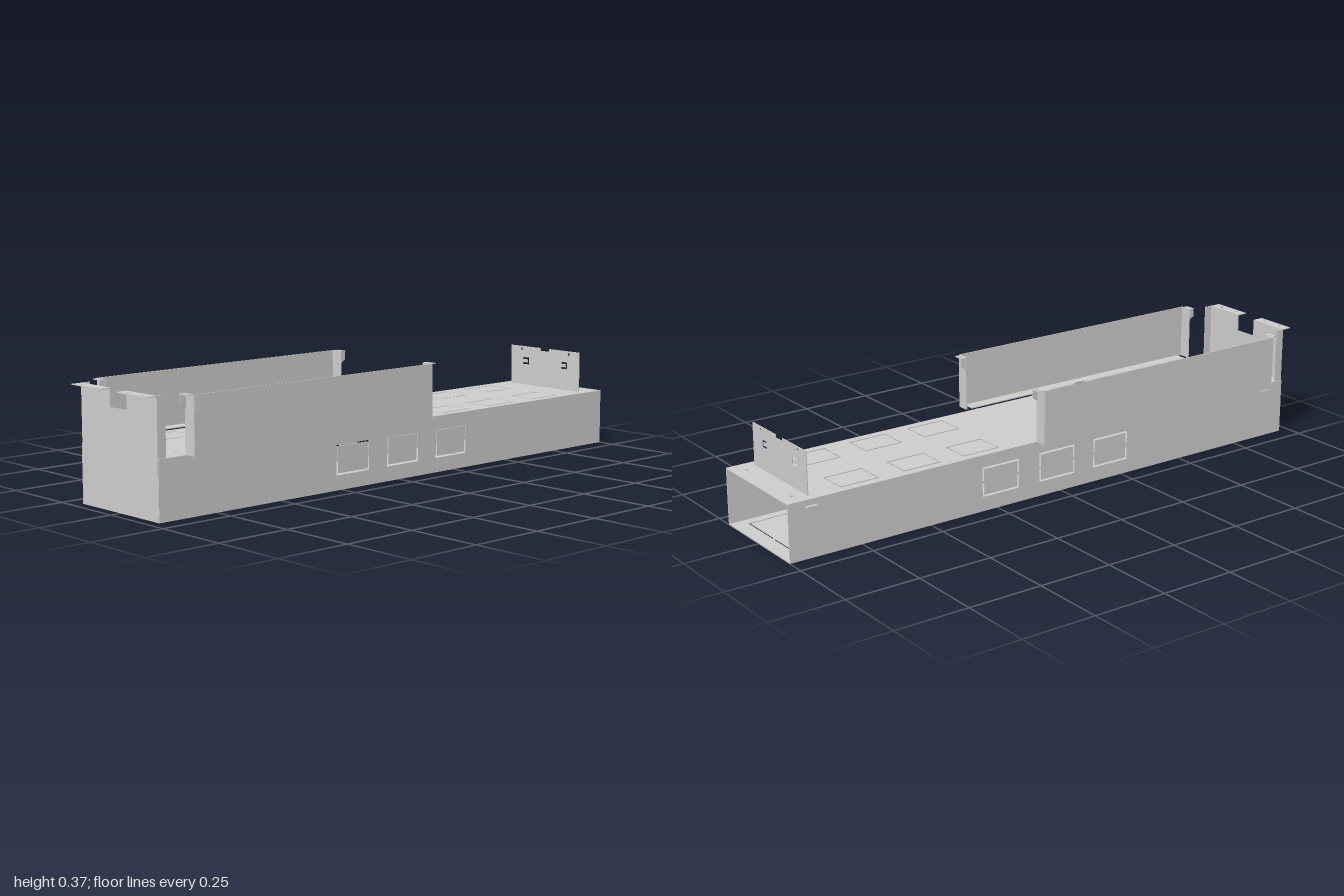
import * as THREE from 'three';

const T = 0.003; // sheet thickness
const material = new THREE.MeshStandardMaterial({ color: 0xcccccc, side: THREE.DoubleSide });

const rect = (x0, y0, x1, y1) => [[x0, y0], [x1, y0], [x1, y1], [x0, y1]];
const path = (pts) => new THREE.Path(pts.map(([x, y]) => new THREE.Vector2(x, y)));
const disc = (x, y, r) => new THREE.Path().absarc(x, y, r, 0, Math.PI * 2, true);

// Flat sheet extruded by T. Facing 'z': u = x, v = y. 'y': u = x, v = -z. 'x': u = -z, v = y.
function sheet(name, facing, at, outline, holes = []) {
  const shape = new THREE.Shape(outline.map(([x, y]) => new THREE.Vector2(x, y)));
  shape.holes = holes;
  const geo = new THREE.ExtrudeGeometry(shape, { depth: T, bevelEnabled: false, curveSegments: 12 });
  if (facing === 'y') geo.rotateX(-Math.PI / 2);
  if (facing === 'x') geo.rotateY(Math.PI / 2);
  const mesh = new THREE.Mesh(geo, material);
  mesh.name = name;
  mesh.position[facing] = at - T / 2;
  return mesh;
}

// Sheet with knockout panels: each is a slit outline held by two side bridges
function knockoutSheet(name, facing, at, outline, knockouts, holes = []) {
  const group = new THREE.Group();
  group.name = name;
  const slit = 0.006;
  const cuts = knockouts.map(([u, v, w, h]) => path(rect(u - w / 2, v - h / 2, u + w / 2, v + h / 2)));
  group.add(sheet(name + 'Sheet', facing, at, outline, [...cuts, ...holes]));
  for (const [u, v, w, h] of knockouts) {
    const a = w / 2 - slit, b = h / 2 - slit, c = w / 2, d = 0.004;
    group.add(sheet('knockout', facing, at, [
      [u - a, v - b], [u + a, v - b], [u + a, v - d], [u + c, v - d], [u + c, v + d], [u + a, v + d],
      [u + a, v + b], [u - a, v + b], [u - a, v + d], [u - c, v + d], [u - c, v - d], [u - a, v - d],
    ]));
  }
  return group;
}

// Side channel: outer panel, bottom flange, end flanges and mounting tabs
function sideChannel(s) {
  const g = new THREE.Group();
  g.name = s > 0 ? 'frontChannel' : 'backChannel';
  const x0 = -0.87, x1 = 0.1, y0 = 0.189, y1 = 0.37, outer = 0.236, inner = 0.194;
  g.add(sheet('channelPanel', 'z', s * outer, rect(x0, y0, x1, y1)));
  // bottom flange with a small relief on its inner edge
  g.add(sheet('channelBottomFlange', 'y', y0 + T / 2, [
    [x0 + 0.02, -s * outer], [x1 - 0.02, -s * outer], [x1 - 0.02, -s * inner], [-0.35, -s * inner],
    [-0.36, -s * (inner + 0.008)], [-0.4, -s * (inner + 0.008)], [-0.41, -s * inner], [x0 + 0.02, -s * inner],
  ]));
  for (const [x, dir] of [[x0, -1], [x1, 1]]) {
    g.add(sheet('channelEndFlange', 'x', x, rect(-s * outer, y0, -s * inner, y1)));
    g.add(sheet('channelTab', 'y', y1 - T / 2, rect(x, -s * 0.23, x + dir * 0.02, -s * inner),
      [disc(x + dir * 0.01, -s * 0.211, 0.005)]));
    g.add(sheet('channelTabLip', 'z', s * 0.198, [
      [x, 0.325], [x + dir * 0.01, 0.335], [x + dir * 0.02, 0.34], [x + dir * 0.02, y1], [x, y1],
    ]));
  }
  return g;
}

export function createModel() {
  const model = new THREE.Group();
  const L = -0.965, R = 1, H = 0.187, Z = 0.187;

  // Trough: top, bottom and two long sides, open at +x
  const topKnockouts = [], topHoles = [];
  for (const z of [-0.11, 0.11]) {
    for (const x of [-0.7, -0.48, -0.26, 0.29, 0.51, 0.735]) topKnockouts.push([x, z, 0.138, 0.102]);
  }
  for (const z of [-0.136, 0.136]) {
    for (const x of [-0.92, -0.865, 0.9, 0.955]) topHoles.push(disc(x, z, 0.006));
  }
  model.add(knockoutSheet('topPanel', 'y', H - T / 2, rect(L, -Z, R, Z), topKnockouts, topHoles));
  model.add(knockoutSheet('bottomPanel', 'y', T / 2, rect(L, -Z, R, Z),
    [[0.86, 0, 0.18, 0.31], [-0.825, 0, 0.18, 0.31]],
    [-0.4, 0.02, 0.445].map((x) => disc(x, 0, 0.009))));
  for (const s of [1, -1]) {
    const slots = [-0.885, 0.92].map((x) => path(rect(x - 0.02, 0.163, x + 0.02, 0.168)));
    model.add(knockoutSheet(s > 0 ? 'frontPanel' : 'backPanel', 'z', s * Z, rect(L, 0, R, H),
      [-0.203, 0.015, 0.237].map((x) => [x, 0.097, 0.14, 0.098]), s > 0 ? [] : slots));
    model.add(sideChannel(s));
  }

  // Tall end wall with a notch, side returns and outward top flanges
  const E = 0.37, W = 0.184;
  model.add(sheet('endWall', 'x', L + T / 2, [
    [-W, 0], [W, 0], [W, E], [0.04, E], [0.04, 0.312], [-0.04, 0.312], [-0.04, E], [-W, E],
  ]));
  for (const s of [1, -1]) {
    model.add(sheet('endWallReturn', 'z', s * W, rect(L, H, L + 0.03, E)));
    model.add(sheet('endWallTopFlange', 'y', E - T / 2, rect(-1, s * 0.04, L, s * W),
      [0.075, 0.15].map((z) => disc(-0.983, s * z, 0.006))));
  }

  // Upright bracket near the open end, with round holes and C-shaped slots
  const holes = [];
  for (const u of [-0.09, 0.09]) {
    holes.push(disc(Math.sign(u) * 0.111, 0.315, 0.005));
    holes.push(path([
      [u - 0.014, 0.261], [u + 0.014, 0.261], [u + 0.014, 0.268], [u - 0.007, 0.268],
      [u - 0.007, 0.279], [u + 0.014, 0.279], [u + 0.014, 0.286], [u - 0.014, 0.286],
    ]));
  }
  model.add(sheet('endBracket', 'x', 0.915, [
    [-0.16, H], [0.16, H], [0.16, 0.326], [0.02, 0.326], [0.02, 0.316],
    [-0.02, 0.316], [-0.02, 0.326], [-0.16, 0.326],
  ], holes));

  return model;
}
